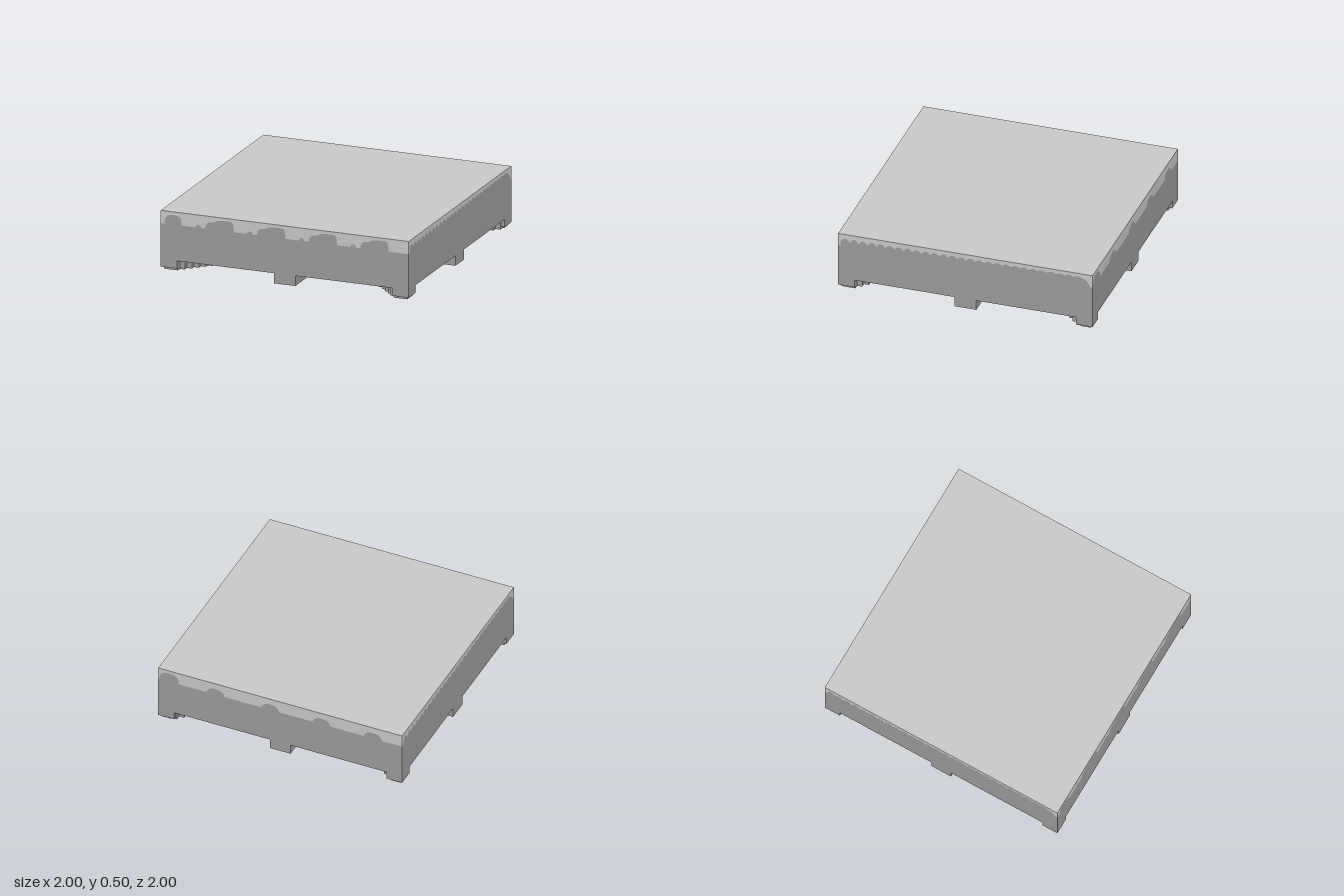
import * as THREE from 'three';

const stone = new THREE.MeshStandardMaterial({ name: 'darkStone', color: 0x9b9b9b });
const pale = new THREE.MeshStandardMaterial({ name: 'paleTop', color: 0xc8c8c8 });

export function createModel() {
  const group = new THREE.Group();

  const add = (name, geometry, material = stone) => {
    const mesh = new THREE.Mesh(geometry, material);
    mesh.name = name;
    group.add(mesh);
    return mesh;
  };
  // Box given by its centre in x and z, its size and its bottom and top
  const box = (name, x, z, w, d, y0, y1, material) =>
    add(name, new THREE.BoxGeometry(w, y1 - y0, d).translate(x, (y0 + y1) / 2, z), material);
  // Outline in plan, raised from y0 to y1
  const raise = (shape, y0, y1) =>
    new THREE.ExtrudeGeometry(shape, { depth: y1 - y0, bevelEnabled: false })
      .rotateX(-Math.PI / 2).translate(0, y0, 0);
  const outline = (pts) => new THREE.Shape(pts.map(([x, y]) => new THREE.Vector2(x, y)));
  const square = (r) => [[-r, -r], [r, -r], [r, r], [-r, r]];

  // Slab: recessed rim below, solid block, pale covering on top
  const ceiling = 0.17;
  const rim = outline(square(1));
  rim.holes.push(outline(square(0.9).reverse()));
  add('slabRim', raise(rim, 0.12, ceiling));
  box('slab', 0, 0, 2, 2, ceiling, 0.4);
  box('topCovering', 0, 0, 2, 2, 0.4, 0.5, pale);

  // Feet at the four corners
  for (const sx of [-1, 1]) for (const sz of [-1, 1])
    box('cornerFoot', sx * 0.935, sz * 0.935, 0.13, 0.13, 0.06, 0.12);

  // Straight beams that cross under the middle
  box('crossBeam', 0, 0, 1.998, 0.17, 0.04, ceiling);
  box('crossBeam', 0, 0, 0.17, 1.998, 0.04, ceiling);

  // Shallow ribs in a grid
  for (const s of [-1, 1]) {
    box('rib', 0, s * 0.645, 1.8, 0.09, 0.1, ceiling);
    box('rib', s * 0.645, 0, 0.09, 1.8, 0.1, ceiling);
  }

  // Diagonal beams with stepped sides
  const end = 0.98, step = 0.04, offset = 0.11;
  const side = [[-end, -end]];
  for (let x = -end + offset; x < end - 0.001; x += step) {
    const y = x - offset;
    side.push([x, y], [x, Math.min(y + step, end)]);
  }
  side.push([end, side[side.length - 1][1]]);
  const upper = side.slice(1).map(([x, y]) => [y, x]).reverse();
  for (const s of [1, -1]) {
    const pts = [...side, [end, end], ...upper].map(([x, y]) => [s * x, y]);
    add('diagonalBeam', raise(outline(pts), 0.04, ceiling));
  }

  // Hub under the crossing
  const a = 0.165, b = 0.145, c = 0.05;
  const hub = [];
  for (let i = 0; i < 4; i++) {
    const cos = [1, 0, -1, 0][i], sin = [0, 1, 0, -1][i];
    for (const [x, y] of [[a, -c], [a, c], [b, c], [b, b], [c, b]])
      hub.push([x * cos - y * sin, x * sin + y * cos]);
  }
  add('hub', raise(outline(hub), 0, 0.04));

  // Painted edge of the stone on each side, as faces just off the covering
  const paint = (name, shapes, turn) =>
    add(name, new THREE.ShapeGeometry(shapes, 8).translate(0, 0, 1.001).rotateY(turn * Math.PI / 2));

  // One lump standing on y = 0.4, its profile scaled between x0 and x1
  const lump = (x0, x1, profile) => {
    const shape = new THREE.Shape();
    const pts = profile.map(([u, y]) => new THREE.Vector2(x0 + u * (x1 - x0), y));
    shape.moveTo(x0, 0.4);
    shape.splineThru(pts);
    shape.lineTo(x1, 0.4);
    shape.closePath();
    return shape;
  };
  const wide = [[0.03, 0.43], [0.12, 0.452], [0.3, 0.456], [0.42, 0.472], [0.75, 0.478], [0.95, 0.468], [1, 0.4]];
  const round = [[0.06, 0.445], [0.25, 0.47], [0.55, 0.475], [0.85, 0.465], [0.97, 0.44], [1, 0.4]];
  const small = [[0.1, 0.415], [0.5, 0.422], [0.9, 0.415], [1, 0.4]];
  const low = [[0.08, 0.425], [0.3, 0.448], [0.7, 0.448], [0.92, 0.425], [1, 0.4]];

  const front = [lump(-0.97, -0.83, round)];
  for (let i = 0; i < 4; i++) {
    const x = -0.64 + i * 0.4167;
    front.push(lump(x, x + 0.23, wide), lump(x - 0.08, x - 0.035, small));
  }
  paint('frontLumps', front, 0);

  const back = [lump(-0.99, -0.83, round)];
  for (const x of [-0.53, -0.08, 0.34, 0.76]) back.push(lump(x - 0.075, x + 0.075, low));
  paint('backLumps', back, 2);

  // Scalloped line on the two other sides
  const waves = [[-0.98, 0.4]];
  const count = 27, parts = 6;
  for (let i = 0; i <= count * parts; i++) {
    const t = i / (count * parts);
    const peak = 0.465 + 0.012 * t, cusp = 0.432 + 0.034 * t;
    waves.push([-0.98 + 1.9 * t, cusp + (peak - cusp) * Math.abs(Math.sin(t * count * Math.PI))]);
  }
  waves.push([0.95, 0.45], [0.97, 0.425], [0.98, 0.4]);
  paint('rightScallops', outline(waves.slice().reverse()), 1);
  paint('leftScallops', outline(waves.slice().reverse()), 3);

  return group;
}
